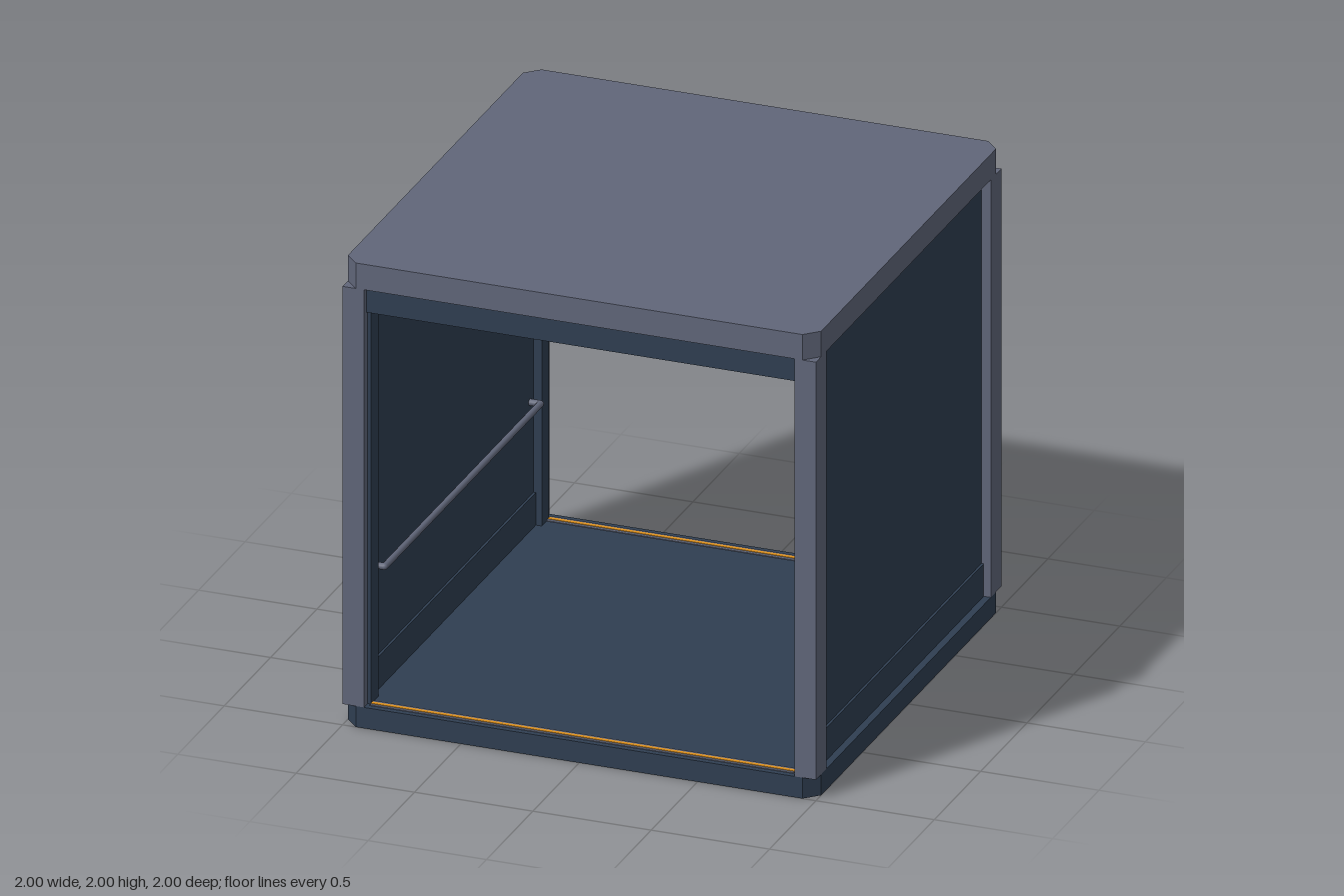
import * as THREE from 'three';

const mat = (name, color) => {
  const m = new THREE.MeshStandardMaterial({ color });
  m.name = name;
  return m;
};

// Plate lying flat with cut corners, base at y = 0
function cutPlate(w, d, h, c) {
  const x = w / 2, z = d / 2;
  const shape = new THREE.Shape([
    [x - c, -z], [x, -z + c], [x, z - c], [x - c, z],
    [-x + c, z], [-x, z - c], [-x, -z + c], [-x + c, -z],
  ].map(([a, b]) => new THREE.Vector2(a, b)));
  return new THREE.ExtrudeGeometry(shape, { depth: h, bevelEnabled: false }).rotateX(-Math.PI / 2);
}

export function createModel() {
  const model = new THREE.Group();
  model.name = 'liftCabin';
  const steel = mat('steelGrey', 0x606679);
  const navy = mat('navyPanel', 0x2f3e51);
  const dark = mat('darkPlate', 0x222b3a);
  const cream = mat('creamLight', 0xcdbfa2);
  const white = mat('paleMarking', 0xc9ccd2);
  const orange = mat('orangeMarking', 0xe0931f);

  const add = (name, geo, material, x = 0, y = 0, z = 0) => {
    const mesh = new THREE.Mesh(geo, material);
    mesh.name = name;
    mesh.position.set(x, y, z);
    model.add(mesh);
    return mesh;
  };
  // Box given by its limits on each axis
  const box = (name, material, x0, x1, y0, y1, z0, z1) => add(name,
    new THREE.BoxGeometry(Math.abs(x1 - x0), y1 - y0, Math.abs(z1 - z0)), material,
    (x0 + x1) / 2, (y0 + y1) / 2, (z0 + z1) / 2);

  // Floor and roof slabs
  add('floor', cutPlate(2, 2, 0.09, 0.057), navy);
  add('roof', cutPlate(2, 2, 0.11, 0.057), steel, 0, 1.89);

  for (const s of [1, -1]) {
    // Corner posts and door jambs
    for (const t of [1, -1]) {
      box('cornerPost', steel, s * 0.91, s, 0.09, 1.89, t * 0.885, t);
      box('doorJamb', navy, s * 0.895, s * 0.95, 0.09, 1.89, t * 0.88, t * 0.96);
    }

    // Side wall with a thicker kick plate
    box('sideWall', navy, s * 0.93, s * 0.96, 0.09, 1.89, -0.885, 0.885);
    box('kickPlate', navy, s * 0.92, s * 0.97, 0.09, 0.23, -0.885, 0.885);

    // Handrail with returns to the wall
    const r = 0.014;
    add('handrail', new THREE.CylinderGeometry(r, r, 1.68, 12).rotateX(Math.PI / 2), steel, s * 0.885, 0.635, 0);
    for (const t of [1, -1]) {
      add('handrailReturn', new THREE.CylinderGeometry(r, r, 0.05, 12).rotateZ(Math.PI / 2),
        steel, s * 0.91, 0.635, t * 0.84);
      add('handrailElbow', new THREE.SphereGeometry(r, 12, 8), steel, s * 0.885, 0.635, t * 0.84);
    }

    // Lintel and sill strips on the open ends
    box('lintel', navy, -0.91, 0.91, 1.78, 1.89, s * 0.88, s * 0.97);
    box('sillTrack', steel, -0.895, 0.895, 0.09, 0.093, s * 0.93, s * 0.975);
    box('sillStripe', orange, -0.895, 0.895, 0.09, 0.095, s * 0.945, s * 0.962);

    // Ceiling lights
    for (const t of [1, -1]) {
      add('ceilingLight', cutPlate(0.73, 0.7, 0.009, 0.07), cream, s * 0.435, 1.882, t * 0.425);
    }
  }

  // Control column
  box('controlColumn', steel, 0.85, 0.94, 0.09, 1.89, -0.96, -0.6);
  box('controlPlate', dark, 0.832, 0.85, 0.58, 1.3, -0.95, -0.62);

  // Call buttons: pale rim, dark face, arrow
  const wallPlate = (name, material, size, h, cut, x, y) => {
    add(name, cutPlate(size, size, h, cut).rotateZ(Math.PI / 2), material, x, y, -0.77);
  };
  for (const [y, dir, material] of [[0.97, 1, white], [0.73, -1, orange]]) {
    wallPlate('buttonRim', white, 0.18, 0.006, 0.025, 0.832, y);
    wallPlate('buttonFace', dark, 0.156, 0.004, 0.02, 0.826, y);
    add('buttonArrow',
      new THREE.CylinderGeometry(0.058, 0.058, 0.006, 3, 1, false, dir * Math.PI / 2).rotateZ(Math.PI / 2),
      material, 0.819, y - dir * 0.012, -0.77);
  }

  // Indicator dashes above the buttons
  for (let i = 0; i < 4; i++) {
    for (const y of [1.2, 1.245]) {
      const z = -0.885 + i * 0.07;
      box('indicatorDash', white, 0.828, 0.832, y, y + 0.013, z, z + 0.035);
    }
  }
  return model;
}
